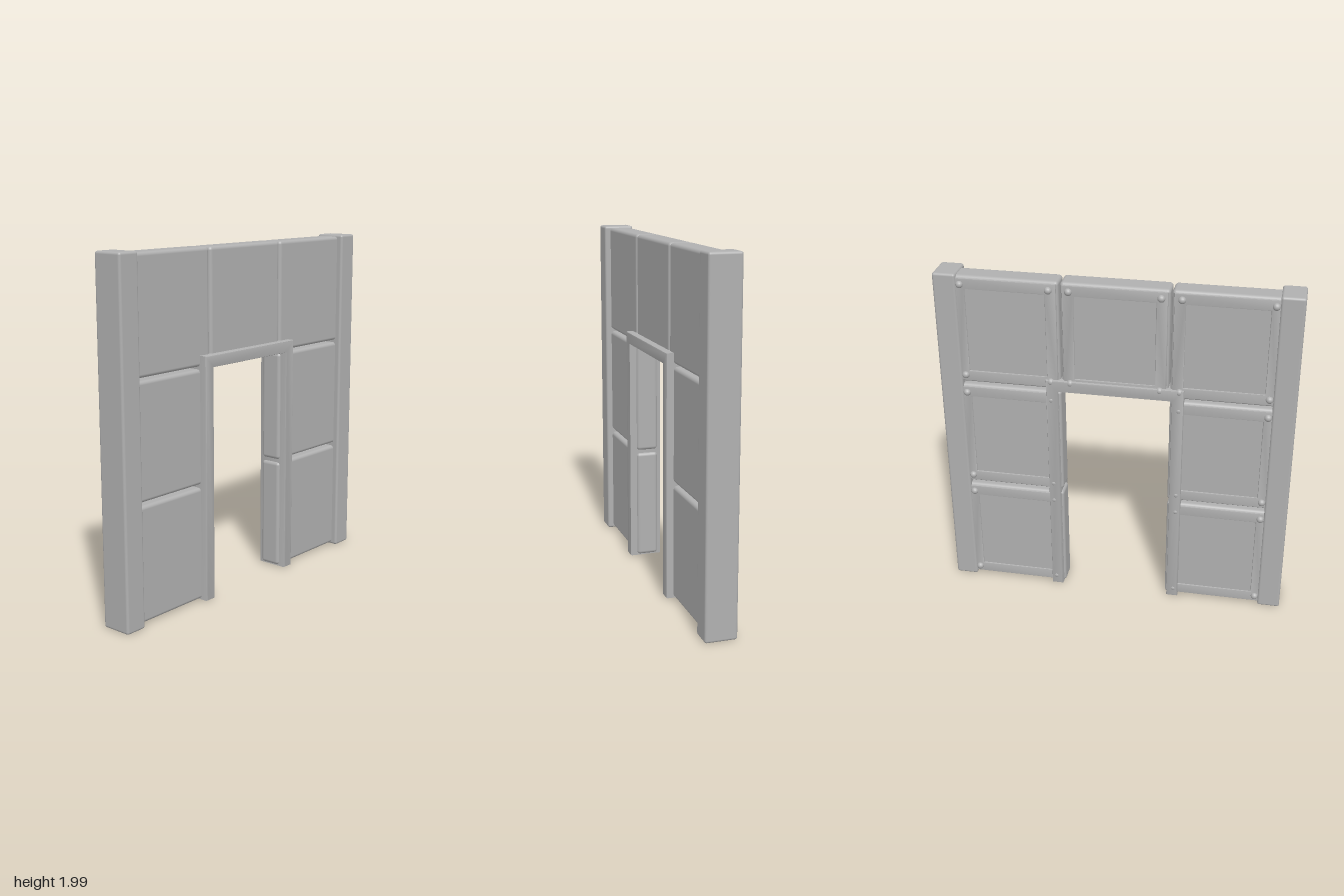
import * as THREE from 'three';
import { RoundedBoxGeometry } from 'three/addons/geometries/RoundedBoxGeometry.js';
import { toCreasedNormals } from 'three/addons/utils/BufferGeometryUtils.js';

const grey = new THREE.MeshStandardMaterial({ color: 0xb0b0b0 });
grey.name = 'plain grey';

// Rounded block given by its limits on each axis
function block(name, x0, x1, y0, y1, z0, z1, radius) {
  const mesh = new THREE.Mesh(new RoundedBoxGeometry(x1 - x0, y1 - y0, z1 - z0, 3, radius), grey);
  mesh.position.set((x0 + x1) / 2, (y0 + y1) / 2, (z0 + z1) / 2);
  mesh.name = name;
  return mesh;
}

// Softly bevelled extrusion that keeps its outline and spans z0..z1
function bevelled(name, shape, z0, z1, bevel) {
  const geometry = new THREE.ExtrudeGeometry(shape, {
    depth: z1 - z0 - 2 * bevel, bevelThickness: bevel, bevelSize: bevel,
    bevelOffset: -bevel, bevelSegments: 2, curveSegments: 4,
  });
  geometry.translate(0, 0, z0 + bevel);
  const mesh = new THREE.Mesh(toCreasedNormals(geometry, 0.7), grey);
  mesh.name = name;
  return mesh;
}

const rectangle = (x0, x1, y0, y1) => [
  new THREE.Vector2(x0, y0), new THREE.Vector2(x1, y0),
  new THREE.Vector2(x1, y1), new THREE.Vector2(x0, y1),
];

// Wall panel: slab, shallow raised border on the back, rivets at its corners
function panel(name, x0, x1, y0, y1, rivetX) {
  const group = new THREE.Group();
  group.name = name;
  group.add(block('panelSlab', x0, x1, y0, y1, -0.074, 0.055, 0.02));

  const inset = 0.012, rim = 0.075;
  const border = new THREE.Shape(rectangle(x0 + inset, x1 - inset, y0 + inset, y1 - inset));
  border.holes.push(new THREE.Path(rectangle(x0 + rim, x1 - rim, y0 + rim, y1 - rim).reverse()));
  group.add(bevelled('backBorder', border, -0.081, -0.06, 0.006));

  for (const x of rivetX) {
    for (const y of [y0 + 0.048, y1 - 0.048]) {
      const rivet = new THREE.Mesh(new THREE.SphereGeometry(0.021, 16, 10), grey);
      rivet.position.set(x, y, -0.08);
      rivet.name = 'rivet';
      group.add(rivet);
    }
  }
  return group;
}

export function createModel() {
  const model = new THREE.Group();
  model.name = 'doorwayWall';

  for (const [side, s] of [['left', 1], ['right', -1]]) {
    const span = (a, b) => (s > 0 ? [a, b] : [-b, -a]);

    // End posts
    model.add(block(side + 'Post', ...span(0.87, 1), 0, 1.985, -0.09, 0.09, 0.014));

    // Three stacked panels beside the opening
    const rows = [['Lower', 0.01, 0.658], ['Middle', 0.677, 1.322], ['Upper', 1.337, 1.975]];
    for (const [row, y0, y1] of rows) {
      model.add(panel(side + row + 'Panel', ...span(0.306, 0.9), y0, y1, [0.36 * s, 0.85 * s]));
    }
  }

  // Panel above the opening
  model.add(panel('centreUpperPanel', -0.298, 0.298, 1.337, 1.975, [-0.25, 0.25]));

  // Door frame: two jambs and a lintel in one piece
  const outline = [[-0.387, 0.004], [-0.32, 0.004], [-0.32, 1.33], [0.32, 1.33],
    [0.32, 0.004], [0.387, 0.004], [0.387, 1.398], [-0.387, 1.398]];
  const frame = new THREE.Shape(outline.map(([x, y]) => new THREE.Vector2(x, y)));
  model.add(bevelled('doorFrame', frame, -0.097, 0.097, 0.008));

  return model;
}
